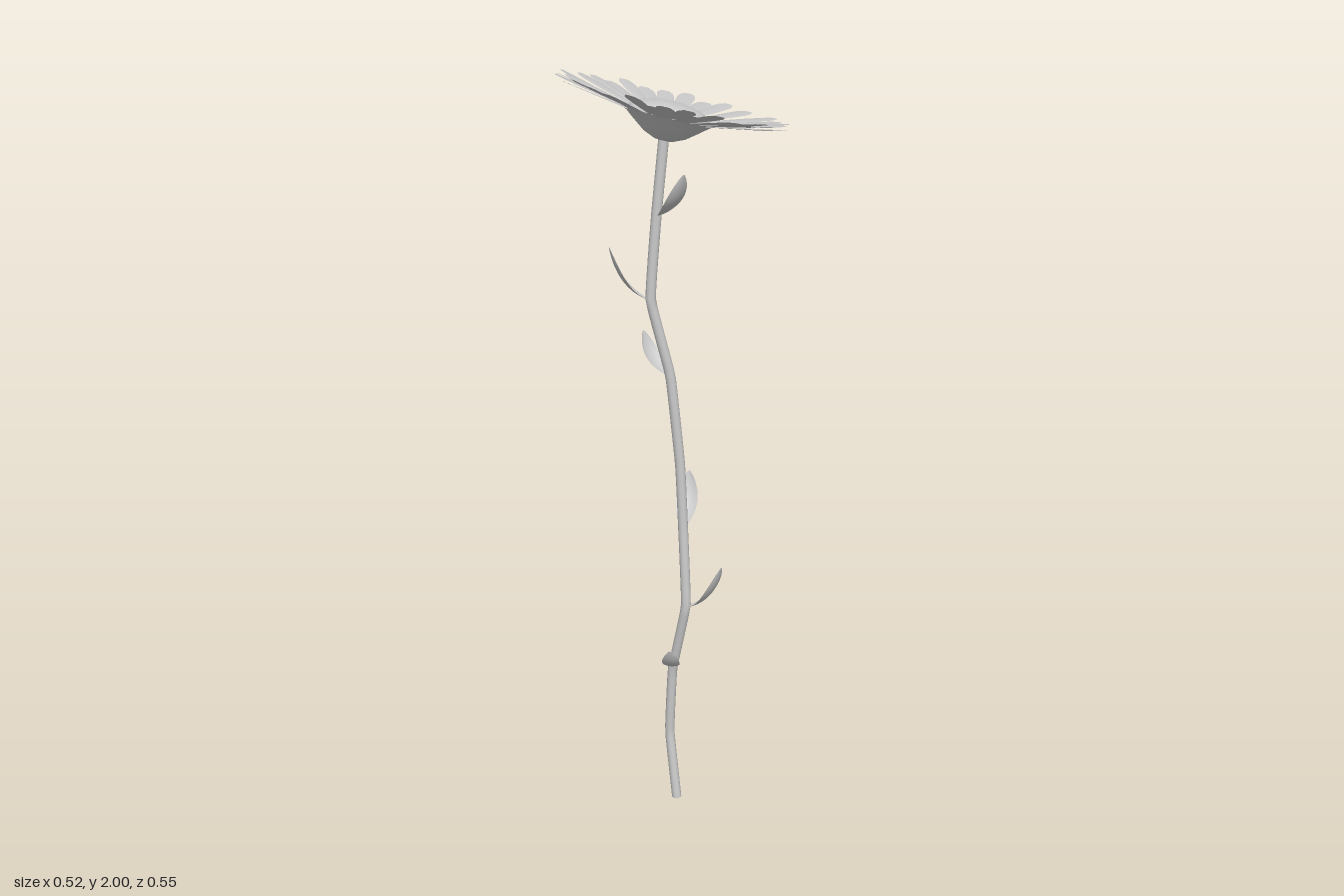
import * as THREE from 'three';

const material = new THREE.MeshStandardMaterial({ color: 0xcccccc, side: THREE.DoubleSide });

function add(parent, name, geometry) {
  const mesh = new THREE.Mesh(geometry, material);
  mesh.name = name;
  parent.add(mesh);
  return mesh;
}

// Thin blade: rule(u, t, row) gives a point, u = -1..1 across, t = 0..1 along
function blade(across, along, rule) {
  const geometry = new THREE.PlaneGeometry(2, 1, across, along);
  const pos = geometry.attributes.position;
  for (let i = 0; i < pos.count; i++) {
    const t = pos.getY(i) + 0.5;
    pos.setXYZ(i, ...rule(pos.getX(i), t, Math.round(t * along)));
  }
  geometry.computeVertexNormals();
  return geometry;
}

// Spoon-shaped leaf that grows outward (+z) and then curves upward
function leafGeometry(out, up, width) {
  return blade(6, 12, (u, t) => {
    const half = (width / 2) * Math.max(0.1, Math.pow(Math.sin(Math.PI * Math.min(0.99, Math.pow(t, 1.2))), 0.65));
    const z = out * (1.6 * t - 0.6 * t * t);
    const y = up * (0.45 * t + 0.55 * t * t);
    const cup = 0.2 * half * u * u;
    return [u * half, y + cup * 0.5, z - cup];
  });
}

// Narrow petal along +x, widening to a blunt tip and rising slightly
const petalRadius = [0.085, 0.14, 0.2, 0.243, 0.259, 0.274];
const petalWidth = [0.02, 0.032, 0.041, 0.043, 0.037, 0.02];
function petalGeometry() {
  return blade(4, 5, (u, t, row) => {
    const r = petalRadius[row];
    const rise = 0.2 * (r - 0.085);
    return [r, rise - 0.003 * u * u * (1 - t), (u * petalWidth[row]) / 2];
  });
}

export function createModel() {
  const flower = new THREE.Group();
  flower.name = 'flower';

  // Stem with gentle kinks
  const points = [
    [0.002, 0.003, 0.017], [0.002, 0.2, -0.012], [0.002, 0.4, 0], [0.004, 0.61, 0.05],
    [0.008, 0.82, 0.034], [0.006, 1.0, 0.024], [-0.012, 1.24, 0.008],
    [-0.05, 1.44, -0.02], [-0.038, 1.65, -0.012], [-0.024, 1.845, 0],
  ].map((p) => new THREE.Vector3(...p));
  const path = new THREE.CatmullRomCurve3(points, false, 'catmullrom', 0.12);
  add(flower, 'stem', new THREE.TubeGeometry(path, 60, 0.0125, 10));
  const cap = add(flower, 'stemEnd', new THREE.CircleGeometry(0.0125, 10));
  cap.position.copy(points[0]);
  cap.rotation.x = Math.PI / 2;

  // Leaves: base x, y, z, then tip offset x, y, z and width
  const leaves = [
    [0, 0.415, 0.003, -0.068, 0.095, 0.068, 0.045],
    [0.006, 0.61, 0.055, 0.028, 0.14, 0.095, 0.068],
    [0.008, 0.82, 0.03, 0.075, 0.12, -0.06, 0.055],
    [-0.012, 1.24, 0.004, -0.012, 0.095, -0.085, 0.046],
    [-0.052, 1.44, -0.022, -0.088, 0.14, -0.042, 0.064],
    [-0.038, 1.65, -0.008, 0.002, 0.12, 0.092, 0.058],
  ];
  for (const [x, y, z, dx, dy, dz, width] of leaves) {
    const leaf = add(flower, 'leaf', leafGeometry(Math.hypot(dx, dz), dy, width));
    leaf.position.set(x, y, z);
    leaf.rotation.y = Math.atan2(dx, dz);
  }

  // Tilted flower head
  const head = new THREE.Group();
  head.name = 'flowerHead';
  head.position.set(-0.01, 1.885, 0);
  head.rotation.z = -0.297;
  flower.add(head);

  // Domed centre
  const dome = add(head, 'centreDisc', new THREE.SphereGeometry(0.098, 32, 10, 0, Math.PI * 2, 0, Math.PI / 2));
  dome.scale.y = 0.36;

  // Cup beneath the petals
  const cup = [[0, -0.056], [0.022, -0.055], [0.05, -0.043], [0.078, -0.022], [0.098, -0.006], [0.115, 0.004]];
  add(head, 'cup', new THREE.LatheGeometry(cup.map((p) => new THREE.Vector2(...p)), 32));

  // Unevenly spaced, overlapping petals (angles in degrees from +x toward +z)
  const angles = [
    -5, -18, -30, -40, -52, -63, -75, -83, -94, -104, -116, -125, -135, -144, -150, -162, -172,
    176, 164, 152, 140, 135, 124, 119, 109, 99.5, 90, 81, 74, 68, 63, 54, 43, 31, 23, 17, 7,
  ];
  const petals = new THREE.Group();
  petals.name = 'petals';
  head.add(petals);
  const petal = petalGeometry();
  angles.forEach((angle, i) => {
    const mesh = add(petals, 'petal', petal);
    mesh.rotation.y = -THREE.MathUtils.degToRad(angle);
    mesh.rotation.z = 0.022 * Math.sin(i * 2.4);
  });

  return flower;
}
